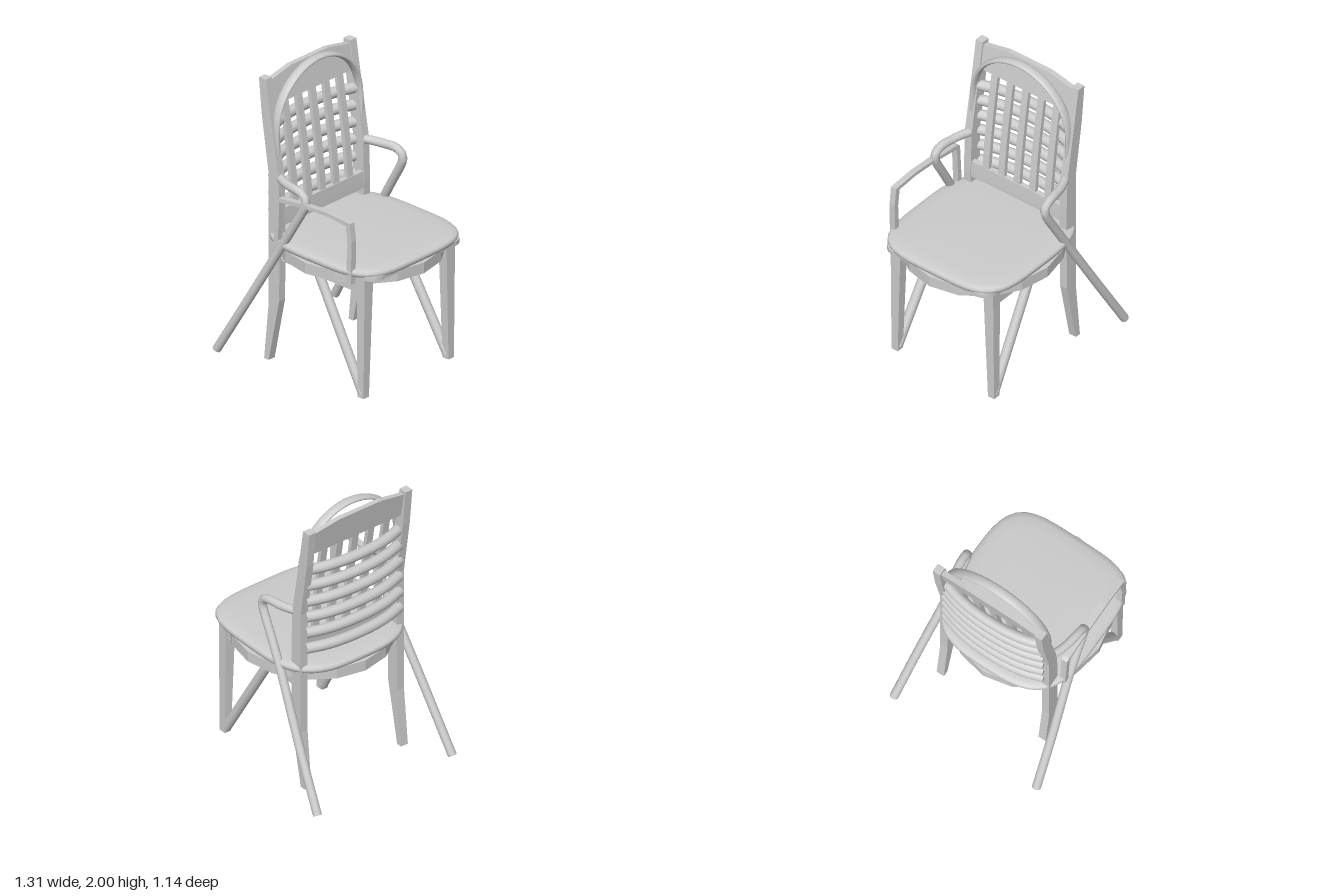
import * as THREE from 'three';

const grey = new THREE.MeshStandardMaterial({ color: 0xcccccc, side: THREE.DoubleSide });
const flat = new THREE.MeshStandardMaterial({ color: 0xcccccc, flatShading: true, side: THREE.DoubleSide });
const V = (x, y, z) => new THREE.Vector3(x, y, z);

export function createModel() {
  const group = new THREE.Group();
  const add = (name, geometry, material = flat) => {
    const mesh = new THREE.Mesh(geometry, material);
    mesh.name = name;
    group.add(mesh);
    return mesh;
  };
  const box = (name, x0, x1, y0, y1, z0, z1) =>
    add(name, new THREE.BoxGeometry(x1 - x0, y1 - y0, z1 - z0)
      .translate((x0 + x1) / 2, (y0 + y1) / 2, (z0 + z1) / 2));
  // side profile in x/y, extruded across z
  const slab = (points, z0, z1) => {
    const shape = new THREE.Shape(points.map(([x, y]) => new THREE.Vector2(x, y)));
    return new THREE.ExtrudeGeometry(shape, { depth: z1 - z0, bevelEnabled: false }).translate(0, 0, z0);
  };
  // moves the vertices of a geometry by a rule
  const warp = (geometry, rule) => {
    const p = geometry.attributes.position, v = V();
    for (let i = 0; i < p.count; i++) {
      rule(v.fromBufferAttribute(p, i));
      p.setXYZ(i, v.x, v.y, v.z);
    }
    geometry.computeVertexNormals();
    return geometry;
  };
  // round bar with closed ends
  const bar = (name, curve, radius, segments) => {
    add(name, new THREE.TubeGeometry(curve, segments, radius, 12), grey);
    for (const t of [0, 1]) {
      const cap = add(name + 'End', new THREE.CircleGeometry(radius, 12), grey);
      const p = curve.getPoint(t);
      cap.position.copy(p);
      cap.lookAt(p.clone().addScaledVector(curve.getTangent(t), t ? 1 : -1));
    }
  };

  // rear posts, front legs, struts and round armrests, mirrored
  const post = [[-0.34, 0], [-0.3, 0], [-0.21, 0.44], [-0.205, 1], [-0.215, 1.3], [-0.27, 1.62],
    [-0.325, 1.955], [-0.385, 1.955], [-0.36, 1.7], [-0.3, 1.3], [-0.3, 0.41]];
  for (const s of [1, -1]) {
    const side = s > 0 ? 'left' : 'right';
    const [a, b] = s > 0 ? [0.36, 0.415] : [-0.415, -0.36];
    add(side + 'RearPost', slab(post, a, b));

    add(side + 'FrontLeg', warp(new THREE.BoxGeometry(1, 1, 1), (v) => {
      const up = v.y > 0;
      v.x = v.x > 0 ? (up ? 0.53 : 0.52) : (up ? 0.46 : 0.468);
      v.z = s * (v.z * s > 0 ? 0.415 : (up ? 0.335 : 0.365));
      v.y = up ? 0.845 : 0;
    }));

    box(side + 'Apron', -0.25, 0.49, 0.72, 0.84, s > 0 ? 0.345 : -0.4, s > 0 ? 0.4 : -0.345);
    bar(side + 'DiagonalStrut', new THREE.LineCurve3(V(0.49, 0.02, s * 0.388), V(0.06, 0.76, s * 0.36)), 0.032, 1);

    const arm = new THREE.CurvePath();
    const pts = [V(-0.23, 1.29, s * 0.385), V(-0.17, 1.287, s * 0.41), V(-0.1, 1.285, s * 0.428), V(-0.02, 1.285, s * 0.44),
      V(0.035, 1.265, s * 0.443), V(0.05, 1.225, s * 0.445), V(0.03, 1.17, s * 0.447), V(-0.05, 1.03, s * 0.453),
      V(-0.17, 0.82, s * 0.467), V(-0.4, 0.41, s * 0.508), V(-0.63, 0.012, s * 0.542)];
    bar(side + 'ArmrestAndSlantedLeg', new THREE.CatmullRomCurve3(pts, false, 'centripetal'), 0.029, 48);
  }
  box('frontApron', 0.47, 0.515, 0.785, 0.84, -0.36, 0.36);
  box('rearApron', -0.285, -0.23, 0.785, 0.84, -0.37, 0.37);
  box('seatUnderside', -0.25, 0.48, 0.77, 0.785, -0.36, 0.36);

  // round seat base
  add('seatBase', new THREE.CylinderGeometry(1, 1, 0.075, 16)
    .scale(0.543, 1, 0.517).translate(0.11, 0.8175, 0));

  // plate under the cushion, with rounded corners
  const plate = new THREE.Shape();
  plate.moveTo(-0.25, -0.43).lineTo(0.51, -0.43);
  plate.absarc(0.51, -0.33, 0.1, -Math.PI / 2, 0, false);
  plate.absarc(0.51, 0.33, 0.1, 0, Math.PI / 2, false);
  plate.lineTo(-0.25, 0.43);
  add('seatPlate', new THREE.ExtrudeGeometry(plate, { depth: 0.03, bevelEnabled: false, curveSegments: 8 })
    .rotateX(Math.PI / 2).translate(0, 0.868, 0));

  // cushion: softened square, narrower at the back
  const profile = [[0, 0.85], [0.93, 0.85], [0.985, 0.858], [1, 0.872], [1, 0.886], [0.985, 0.898],
    [0.93, 0.907], [0.8, 0.914], [0.4, 0.919], [0, 0.92]];
  add('seatCushion', warp(new THREE.LatheGeometry(profile.map(([r, y]) => new THREE.Vector2(r, y)), 64), (v) => {
    const r = Math.hypot(v.x, v.z);
    if (r < 1e-6) { v.x = 0.11; return; }
    const c = v.x / r, d = v.z / r, n = c > 0 ? 4.2 : 3.2;
    const k = r / Math.pow(Math.abs(c) ** n + Math.abs(d) ** n, 1 / n);
    v.x = 0.11 + k * c * 0.525;
    v.z = k * d * 0.495;
  }), grey);

  // square-section armrest on the left side
  add('leftFrameArmrest', slab([[-0.205, 0.85], [-0.185, 1.185], [-0.16, 1.2], [0.05, 1.225], [0.26, 1.238],
    [0.455, 1.225], [0.47, 1.1], [0.465, 0.8], [0.42, 0.8], [0.435, 1.08], [0.42, 1.2],
    [0.26, 1.213], [0.05, 1.2], [-0.155, 1.172], [-0.17, 0.85]], 0.43, 0.472));

  // back panel: rails and upright slats, all following the lean of the posts
  const lean = (y) => -0.225 - 0.13 * Math.pow(Math.max(0, (y - 0.95) / 1), 1.4);
  const strip = (y0, y1, thick) => {
    const front = [], back = [];
    for (let i = 0; i <= 6; i++) {
      const y = y0 + (y1 - y0) * i / 6;
      front.push([lean(y) + thick / 2, y]);
      back.unshift([lean(y) - thick / 2, y]);
    }
    return [...front, ...back];
  };
  add('lowerBackRail', slab(strip(0.96, 1.075, 0.035), -0.37, 0.37));
  for (let i = -2; i <= 2; i++) {
    add('uprightSlat', slab(strip(1.06, 1.78, 0.028), i * 0.125 - 0.025, i * 0.125 + 0.025));
  }
  const crest = new THREE.Shape([[-0.37, 1.76], [0.37, 1.76], [0.37, 1.93], [0.17, 1.967], [-0.17, 1.967], [-0.37, 1.93]]
    .map(([z, y]) => new THREE.Vector2(z, y)));
  add('crestRail', warp(new THREE.ExtrudeGeometry(crest, { depth: 0.035, bevelEnabled: false })
    .translate(0, 0, -0.0175).rotateY(Math.PI / 2), (v) => { v.x += lean(v.y); }));

  // bowed round slats behind
  for (let i = 0; i < 6; i++) {
    const y = 1.035 + i * 0.119;
    const bow = new THREE.CatmullRomCurve3([V(-0.3, y, -0.375), V(-0.34, y, -0.25), V(-0.362, y, -0.1),
      V(-0.362, y, 0.1), V(-0.34, y, 0.25), V(-0.3, y, 0.375)]);
    bar('bowedSlat', bow, 0.036, 20);
  }

  // arched hoop with an oval section, its feet set into the posts
  const arch = [V(0, 1.45, -0.381)];
  for (let i = 0; i <= 16; i++) {
    const a = Math.PI * i / 16;
    arch.push(V(0, 1.6 + 0.385 * Math.sin(a), -0.383 * Math.cos(a)));
  }
  arch.push(V(0, 1.45, 0.381));
  add('backHoop', new THREE.TubeGeometry(new THREE.CatmullRomCurve3(arch), 48, 0.015, 12)
    .scale(2.25, 1, 1).translate(-0.27, 0, 0), grey);

  return group;
}
